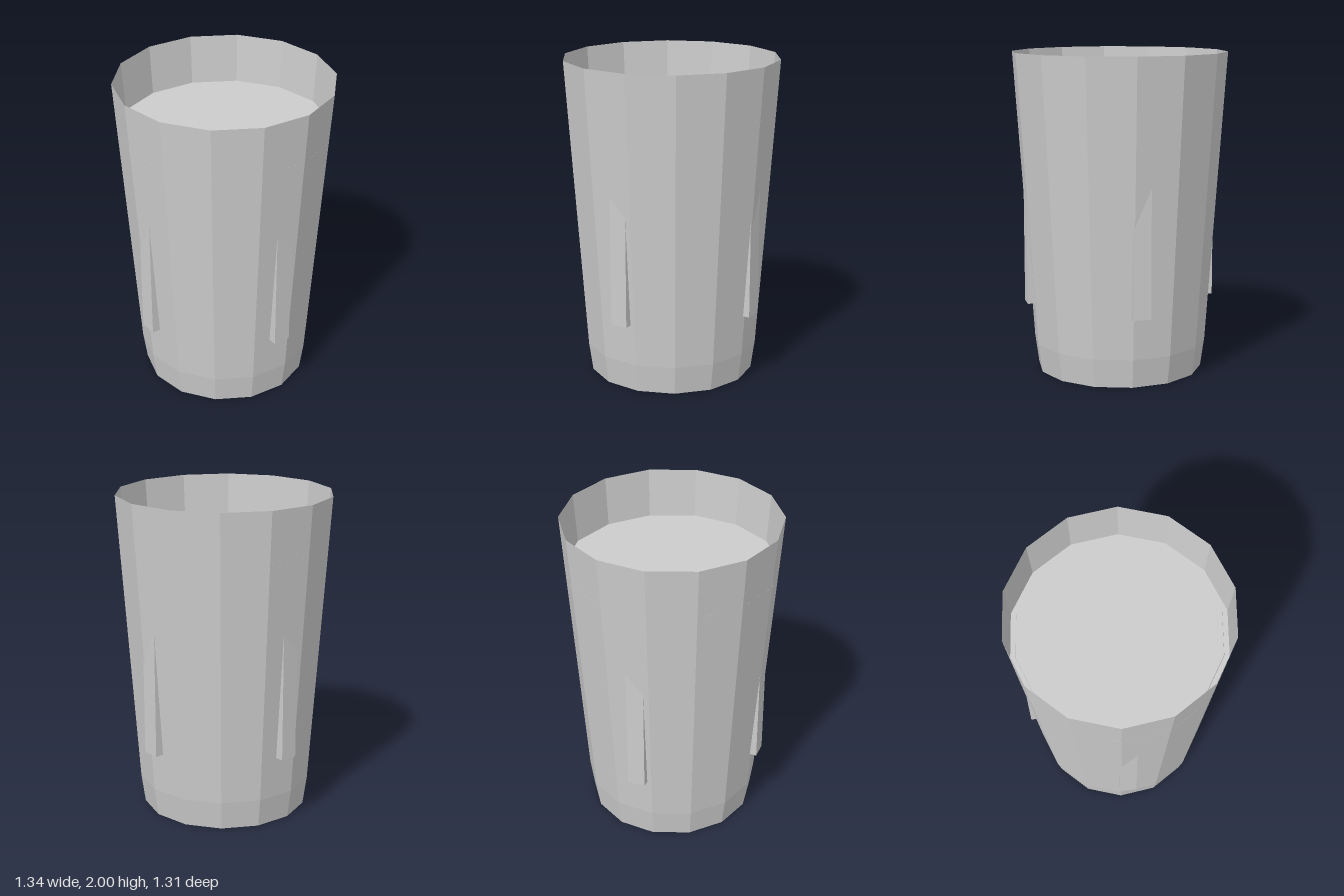
import * as THREE from 'three';

const SIDES = 14;

// Faceted solid of revolution with a corner on the x axis
function facetedLathe(points, material, name) {
  const profile = points.map(([r, y]) => new THREE.Vector2(r, y));
  const mesh = new THREE.Mesh(new THREE.LatheGeometry(profile, SIDES, Math.PI / 2), material);
  mesh.name = name;
  return mesh;
}

export function createModel() {
  const group = new THREE.Group();
  group.name = 'cup';

  const grey = new THREE.MeshStandardMaterial({ color: 0xcccccc });
  grey.name = 'lightGrey';
  grey.flatShading = true;
  grey.side = THREE.DoubleSide;

  // Thin tapered wall with a closed base and a tighter foot
  group.add(facetedLathe([[0, 0], [0.52, 0], [0.545, 0.18], [0.67, 2]], grey, 'cupWall'));

  // Recessed surface: flat ledge around a slightly raised disc
  group.add(facetedLathe(
    [[0.649, 1.69], [0.617, 1.69], [0.615, 1.7], [0, 1.7]], grey, 'recessedSurface'));

  // Four upright grips that fade into the widening wall
  const gripGeometry = new THREE.BoxGeometry(0.11, 0.9, 0.1);
  gripGeometry.translate(0, 0.89, 0.55);
  for (let i = 0; i < 4; i++) {
    const grip = new THREE.Mesh(gripGeometry, grey);
    grip.name = `grip${i + 1}`;
    grip.rotation.y = Math.PI / 6 + i * Math.PI / 2;
    group.add(grip);
  }

  return group;
}
